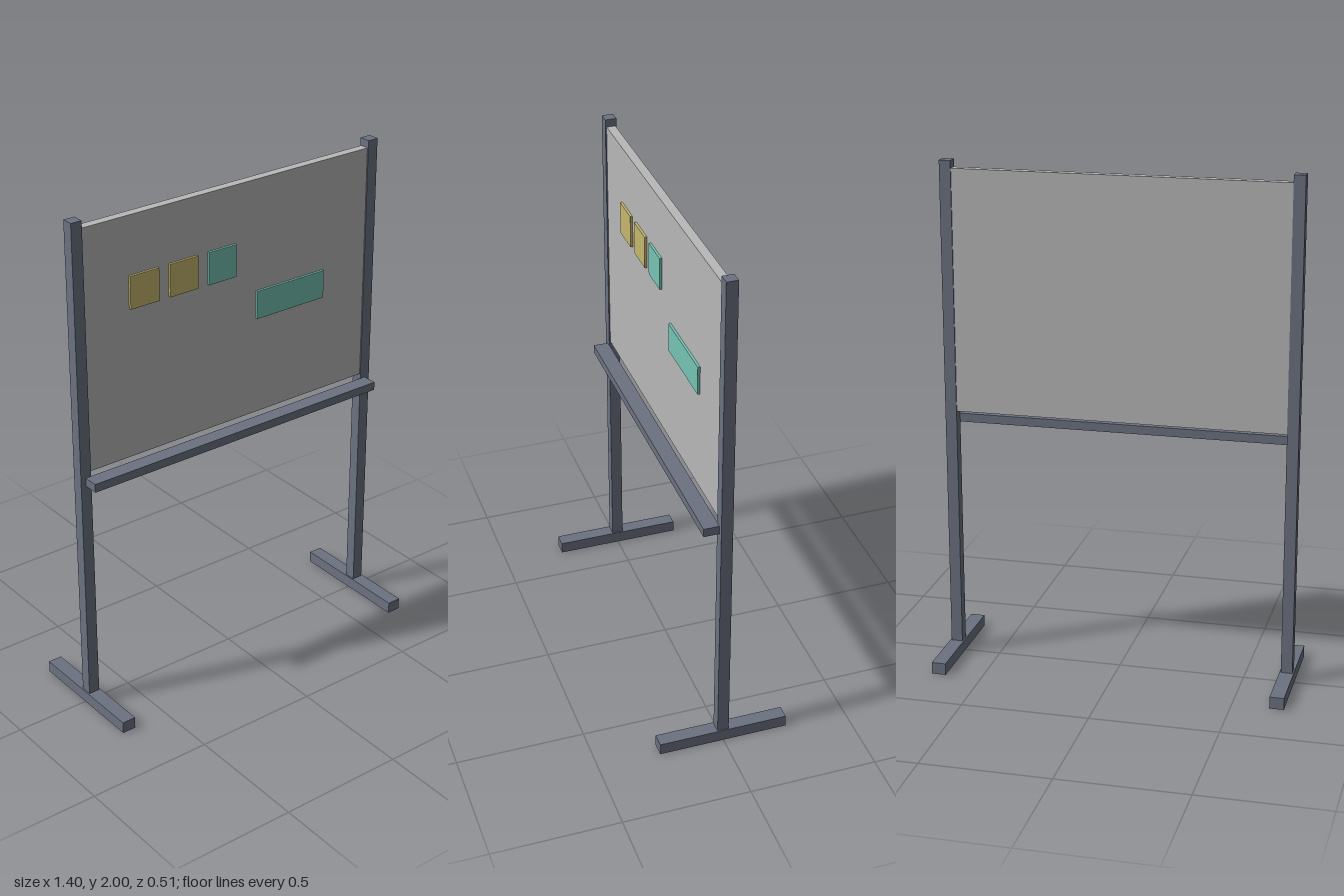
import * as THREE from 'three';

export function createModel() {
  const model = new THREE.Group();
  model.name = 'standingBoard';

  const material = (name, color) => {
    const m = new THREE.MeshStandardMaterial({ color });
    m.name = name;
    return m;
  };
  const frameGrey = material('frameGrey', 0x6b7280);
  const boardGrey = material('boardGrey', 0xb9b8b9);
  const noteYellow = material('noteYellow', 0xc5b76d);
  const noteTeal = material('noteTeal', 0x75c3b3);

  // Box given by its minimum and maximum on each axis
  const box = (name, mat, [x0, x1], [y0, y1], [z0, z1]) => {
    const mesh = new THREE.Mesh(new THREE.BoxGeometry(x1 - x0, y1 - y0, z1 - z0), mat);
    mesh.position.set((x0 + x1) / 2, (y0 + y1) / 2, (z0 + z1) / 2);
    mesh.name = name;
    model.add(mesh);
  };

  // Upright posts on long feet, mirrored
  for (const [side, s] of [['left', 1], ['right', -1]]) {
    const x = s * 0.673;
    box(`${side}Post`, frameGrey, [x - 0.0225, x + 0.0225], [0.02, 2], [-0.0225, 0.0225]);
    box(`${side}Foot`, frameGrey, [x - 0.028, x + 0.028], [0, 0.047], [-0.255, 0.255]);
  }

  // Writing panel between the posts, with a tray just below it
  box('panel', boardGrey, [-0.655, 0.655], [1.016, 1.97], [-0.0175, 0.0175]);
  box('tray', frameGrey, [-0.674, 0.674], [0.963, 0.997], [0.021, 0.082]);

  // Notes stuck on the front of the panel
  const noteDepth = [0.0175, 0.027];
  const notes = [
    ['yellowNote1', noteYellow, [-0.459, -0.332]],
    ['yellowNote2', noteYellow, [-0.285, -0.158]],
    ['tealNote', noteTeal, [-0.11, 0.017]],
  ];
  for (const [name, mat, x] of notes) box(name, mat, x, [1.613, 1.742], noteDepth);
  box('wideTealNote', noteTeal, [0.117, 0.44], [1.413, 1.526], noteDepth);

  return model;
}
